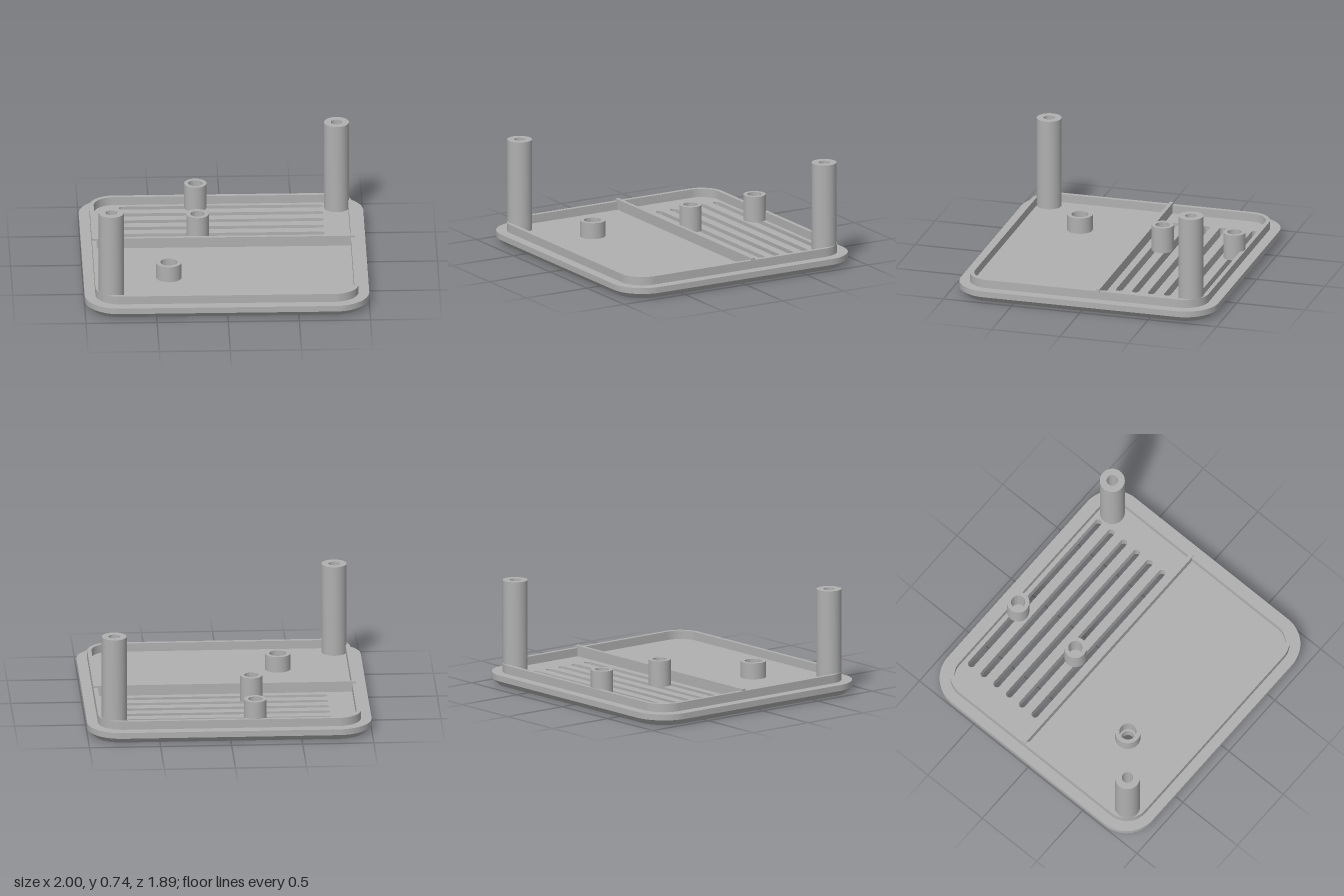
import * as THREE from 'three';
import { toCreasedNormals } from 'three/addons/utils/BufferGeometryUtils.js';

const HALF_W = 1, HALF_D = 0.943, CORNER = 0.24, CHAMFER = 0.045;
const FLOOR = 0.085, LIP_TOP = 0.145;

// Rounded rectangle outline, centred on (cx, cy)
function roundedRect(target, cx, cy, hw, hh, r) {
  const arc = (x, y, a) => target.absarc(cx + x, cy + y, r, a, a + Math.PI / 2, false);
  arc(hw - r, hh - r, 0);
  arc(-hw + r, hh - r, Math.PI / 2);
  arc(-hw + r, -hh + r, Math.PI);
  arc(hw - r, -hh + r, Math.PI * 1.5);
  target.closePath();
  return target;
}

// Extrude a plan shape (shape y = -z) upwards from height y
function extrudeUp(shape, y, depth, steps = 1) {
  const geo = new THREE.ExtrudeGeometry(shape, { depth, steps, bevelEnabled: false, curveSegments: 12 });
  geo.rotateX(-Math.PI / 2);
  geo.translate(0, y, 0);
  return geo;
}

export function createModel() {
  const group = new THREE.Group();
  const plastic = new THREE.MeshStandardMaterial({ color: 0xb0b0b0 });
  plastic.name = 'grey plastic';

  function add(name, geo, x = 0, y = 0, z = 0) {
    const mesh = new THREE.Mesh(toCreasedNormals(geo, 0.5), plastic);
    mesh.name = name;
    mesh.position.set(x, y, z);
    group.add(mesh);
  }

  // Base plate with vent slots and a screw hole
  const plate = roundedRect(new THREE.Shape(), 0, 0, HALF_W, HALF_D, CORNER);
  for (let i = 0; i < 6; i++) {
    plate.holes.push(roundedRect(new THREE.Path(), 0, 0.783 - i * 0.117, 0.715, 0.025, 0.0249));
  }
  plate.holes.push(new THREE.Path().absarc(-0.4, -0.41, 0.046, 0, Math.PI * 2));
  const plateGeo = extrudeUp(plate, 0, FLOOR, 2);

  // Draw the lowest ring of the outline inwards to chamfer the underside
  const pos = plateGeo.attributes.position;
  for (let i = 0; i < pos.count; i++) {
    if (pos.getY(i) > 0.001) continue;
    const x = pos.getX(i), z = pos.getZ(i);
    const cx = THREE.MathUtils.clamp(x, CORNER - HALF_W, HALF_W - CORNER);
    const cz = THREE.MathUtils.clamp(z, CORNER - HALF_D, HALF_D - CORNER);
    if (Math.hypot(x - cx, z - cz) < CORNER - 0.002) continue;
    const k = (CORNER - CHAMFER) / CORNER;
    pos.setX(i, cx + (x - cx) * k);
    pos.setZ(i, cz + (z - cz) * k);
  }
  add('basePlate', plateGeo);

  // Raised locating lip
  const lip = roundedRect(new THREE.Shape(), 0, 0, 0.925, 0.87, 0.17);
  lip.holes.push(roundedRect(new THREE.Path(), 0, 0, 0.895, 0.84, 0.14));
  add('lip', extrudeUp(lip, FLOOR, LIP_TOP - FLOOR));

  // Dividing rib
  const ribHeight = 0.16 - FLOOR;
  add('dividerRib', new THREE.BoxGeometry(1.846, ribHeight, 0.026), 0, FLOOR + ribHeight / 2, -0.108);

  // Hollow posts; "open" ones have no floor inside
  function post(name, x, z, r, bore, top, open = false) {
    const h = top - FLOOR;
    const profile = [[bore, 0], [r, 0], [r, h], [bore, h], [bore, open ? 0 : 0.005]];
    if (!open) {
      profile[0][0] = 0;
      profile.push([0, 0.005]);
    }
    const points = profile.map(([px, py]) => new THREE.Vector2(px, py));
    add(name, new THREE.LatheGeometry(points, 40), x, FLOOR, z);
  }
  post('cornerPostFront', -0.815, 0.757, 0.088, 0.04, 0.74);
  post('cornerPostBack', 0.813, -0.757, 0.088, 0.04, 0.74);
  post('ventBossBack', -0.178, -0.786, 0.079, 0.05, 0.27);
  post('ventBossFront', -0.178, -0.26, 0.079, 0.05, 0.27);
  post('screwBoss', -0.4, 0.41, 0.09, 0.06, 0.2, true);

  return group;
}
